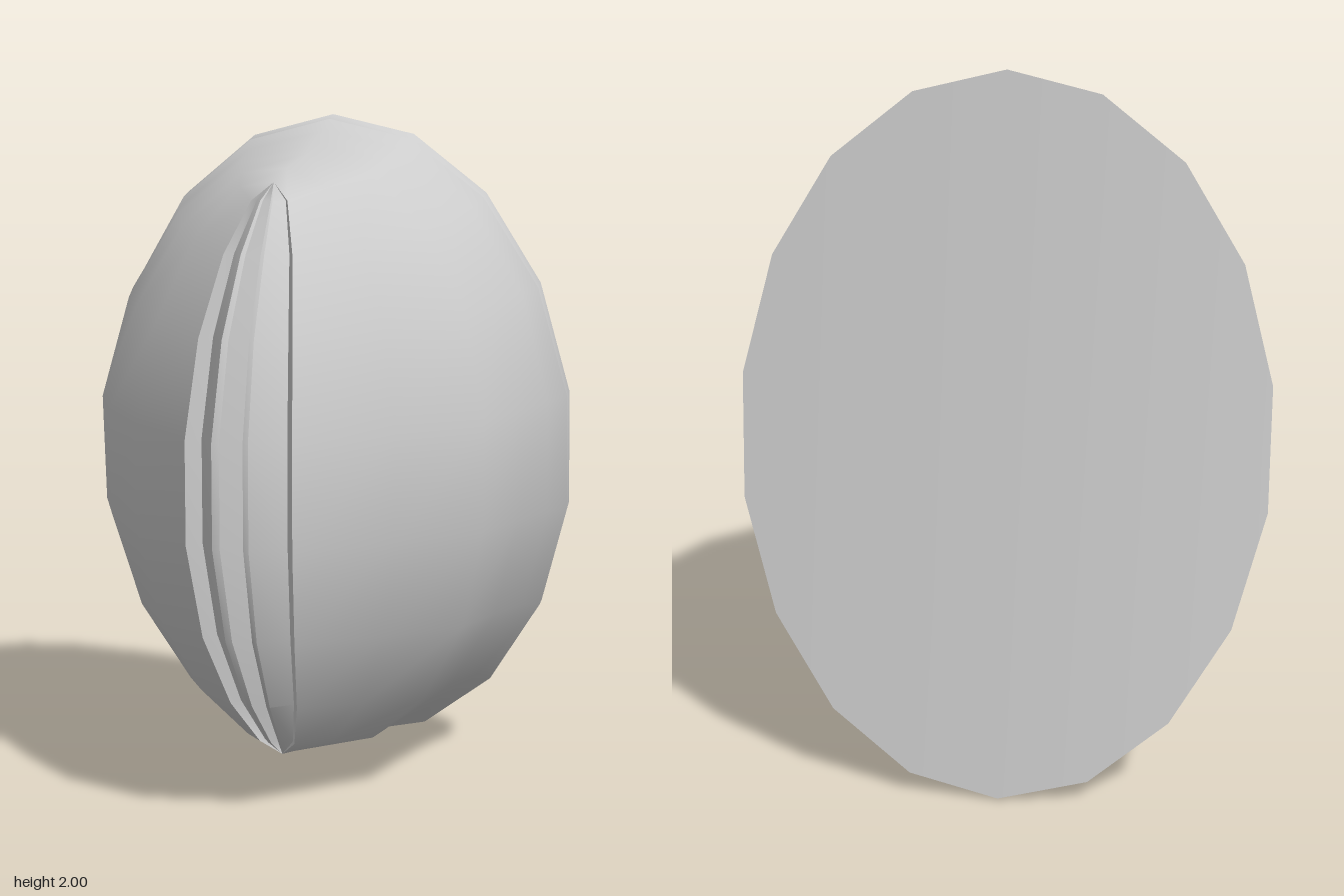
import * as THREE from 'three';
import { toCreasedNormals } from 'three/addons/utils/BufferGeometryUtils.js';

const SEGMENTS = 18;
const STEP = (Math.PI * 2) / SEGMENTS;

// Point at angle t on an oval: half width, bottom y, top y, z at the sides, top and bottom,
// how z bends towards the ends, and x of the centre
function ovalPoint([rx, yb, yt, zSide, zTop, zBottom, bend = 1, cx = 0], t) {
  const s = Math.sin(t);
  const z = THREE.MathUtils.lerp(zSide, s > 0 ? zTop : zBottom, Math.abs(s) ** bend);
  return [cx + rx * Math.cos(t), (yb + yt) / 2 + ((yt - yb) / 2) * s, z];
}

// Ring with a corner at the very top and bottom and upright edges at the sides
function ovalRing(oval) {
  return Array.from({ length: SEGMENTS }, (_, j) => ovalPoint(oval, (j + 0.5) * STEP));
}

// Bows the sides of a ring forwards, more on the right side
function bow(ring) {
  return ring.map(([x, y, z]) => [x, y, z + (x < 0 ? 0.12 : 0.04) * x * x]);
}

// Skin through rows of points; closed joins the last point of each row to the first
function loft(rows, closed) {
  const n = rows[0].length;
  const index = [];
  for (let i = 0; i < rows.length - 1; i++) {
    for (let j = 0; j < (closed ? n : n - 1); j++) {
      const k = (j + 1) % n;
      const a = i * n + j, b = i * n + k, c = a + n, d = b + n;
      index.push(a, b, c, b, d, c);
    }
  }
  const g = new THREE.BufferGeometry();
  g.setAttribute('position', new THREE.Float32BufferAttribute(rows.flat(2), 3));
  g.setIndex(index);
  g.computeVertexNormals();
  return g;
}

export function createModel() {
  const group = new THREE.Group();
  const material = new THREE.MeshStandardMaterial({ color: 0xcccccc });
  const add = (name, geometry) => {
    const mesh = new THREE.Mesh(geometry, material);
    mesh.name = name;
    group.add(mesh);
  };

  // Tilted, slightly bowed back made of upright strips
  const back = bow(ovalRing([0.73, 0.005, 2, -0.465, -0.335, -0.6]));
  const strips = [];
  for (let j = 0; j < SEGMENTS / 2; j++) strips.push([back[j], back[SEGMENTS - 1 - j]]);
  add('backPlate', loft(strips, false));

  // Narrow rim around the back
  const rim = bow(ovalRing([0.73, 0, 1.985, -0.42, -0.295, -0.575]));
  add('rim', loft([back, rim], true));

  // Domed body narrowing to the slit at the front
  const lip = [0.152, 0.155, 1.8, 0.57, 0.25, 0.18, 2.2];
  add('body', loft([
    rim,
    ovalRing([0.7, 0.06, 1.95, -0.17, -0.23, -0.45, 1, 0.005]),
    ovalRing([0.645, 0.09, 1.912, 0, -0.1, -0.25, 1.1, 0.005]),
    ovalRing([0.565, 0.105, 1.88, 0.17, 0, -0.06, 1.5, 0.02]),
    ovalRing([0.38, 0.13, 1.838, 0.365, 0.13, 0.07, 2]),
    ovalRing(lip),
  ], true));

  // Folds inside the slit: x and depth of the section from lip to lip, tapering to both ends
  const section = [
    [-0.152, 0], [-0.125, -0.06], [-0.065, 0.03], [-0.045, 0.025], [0.008, -0.14],
    [0.02, 0.02], [0.035, 0.02], [0.12, -0.06], [0.152, 0],
  ];
  const rows = [];
  for (let k = 0; k <= SEGMENTS / 2; k++) {
    const t = k * STEP - Math.PI / 2;
    const [, y, z] = ovalPoint(lip, t);
    rows.push(section.map(([x, dz]) => [x * Math.cos(t), y, z + dz * Math.cos(t)]));
  }
  add('slitFolds', toCreasedNormals(loft(rows, false), 0.6));

  return group;
}
